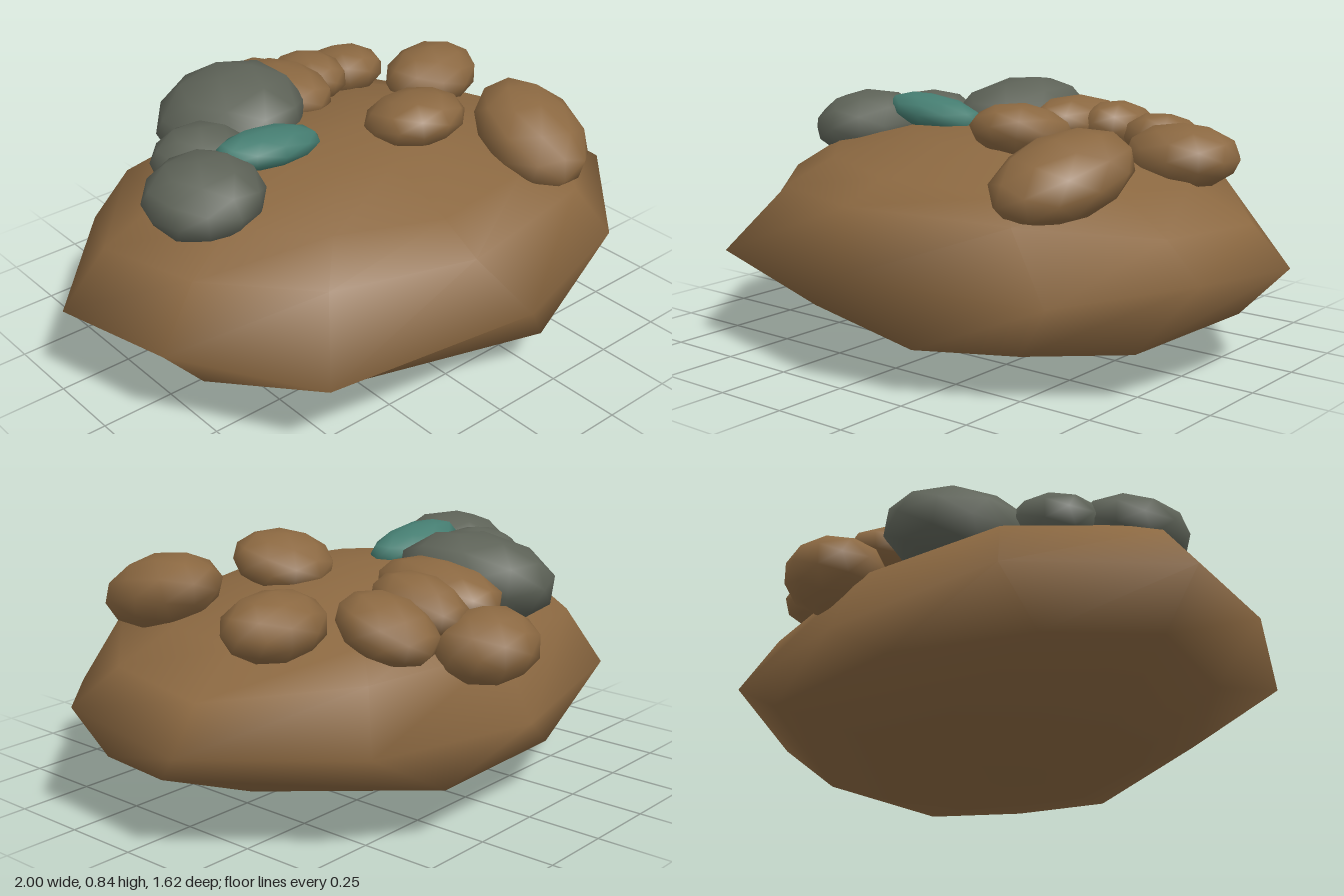
import * as THREE from 'three';
import { mergeVertices } from 'three/addons/utils/BufferGeometryUtils.js';

const flat = (name, color) => Object.assign(new THREE.MeshStandardMaterial({ color }), { name });

// boulder outlines as x, y, z corners: below, at and above its widest level
const BELLY = [
  [0.91, 0.218, -0.06], [0.79, 0.16, 0.33], [0.53, 0.155, 0.54], [0.24, 0.155, 0.69], [-0.42, 0.12, 0.44],
  [-0.74, 0.15, 0.18], [-0.81, 0.2, -0.13], [-0.62, 0.17, -0.45], [-0.2, 0.18, -0.67], [0.36, 0.185, -0.69],
];
const RIM = [
  [1, 0.345, -0.21], [0.97, 0.385, 0.27], [0.66, 0.33, 0.6], [0.06, 0.37, 0.805], [-0.62, 0.32, 0.65],
  [-0.9, 0.335, 0.21], [-1, 0.335, -0.19], [-0.62, 0.34, -0.61], [0, 0.31, -0.745], [0.65, 0.35, -0.65],
];
const SHOULDER = [
  [0.88, 0.475, -0.18], [0.82, 0.49, 0.22], [0.51, 0.54, 0.56], [-0.05, 0.545, 0.66], [-0.49, 0.53, 0.49],
  [-0.76, 0.525, 0.18], [-0.85, 0.52, -0.16], [-0.53, 0.53, -0.52], [0, 0.53, -0.64], [0.56, 0.53, -0.56],
];

// lofts a closed smooth shell from rings listed bottom to top
function loft(rings) {
  const n = RIM.length, index = [];
  for (let r = 0; r < rings.length - 1; r++) {
    for (let i = 0; i < n; i++) {
      const a = r * n + i, b = r * n + (i + 1) % n;
      index.push(b, a, a + n, b, a + n, b + n);
    }
  }
  let geo = new THREE.BufferGeometry();
  geo.setAttribute('position', new THREE.Float32BufferAttribute(rings.flat(2), 3));
  geo.setIndex(index);
  geo = mergeVertices(geo, 1e-4);
  geo.computeVertexNormals();
  return geo;
}

// shrinks an outline and gives each corner a new height
const ring = (outline, scale, height, shift = 0) => outline.map(([x, , z]) => {
  const px = x * scale + shift, pz = z * scale;
  return [px, height(px, pz), pz];
});

export function createModel() {
  const group = new THREE.Group();
  const brown = flat('brown stone', 0x8b6841);
  const grey = flat('grey stone', 0x5e6358);
  const teal = flat('teal stone', 0x457d71);

  const add = (name, geo, mat) => {
    const mesh = new THREE.Mesh(geo, mat);
    mesh.name = name;
    group.add(mesh);
    return mesh;
  };

  // large base boulder: domed top and tilted underside
  add('boulder', loft([
    ring(BELLY, 0, () => 0.01, -0.05),
    ring(BELLY, 0.62, (x, z) => Math.max(0, 0.015 + 0.065 * x + 0.14 * Math.abs(z)), -0.05),
    BELLY,
    RIM,
    SHOULDER,
    ring(SHOULDER, 0.77, (x) => 0.61 - 0.04 * x),
    ring(SHOULDER, 0.38, (x) => 0.69 - 0.02 * x),
    ring(SHOULDER, 0, () => 0.712),
  ]), brown);

  // small rounded stones: name, material, centre, half sizes, rotation
  const pebble = new THREE.IcosahedronGeometry(1.02, 1);
  const stones = [
    ['largeGreyStone', grey, [-0.195, 0.68, -0.38], [0.25, 0.148, 0.262], [0, 0, 0.25]],
    ['leftGreyStone', grey, [-0.575, 0.672, -0.005], [0.19, 0.12, 0.195], [0, 0, 0.1]],
    ['middleGreyStone', grey, [-0.44, 0.672, -0.2], [0.168, 0.11, 0.16], [0, 0, 0]],
    ['tealStone', teal, [-0.295, 0.732, -0.04], [0.2, 0.06, 0.095], [0, 0, -0.12]],
    ['frontLongStone', brown, [0.525, 0.655, 0.335], [0.178, 0.12, 0.243], [0.3, -0.3, 0]],
    ['frontRoundStone', brown, [0.2, 0.732, 0.11], [0.168, 0.09, 0.165], [-0.2, 0, 0]],
    ['sideStone', brown, [0.595, 0.652, -0.225], [0.19, 0.104, 0.15], [0, 0.2, 0]],
    ['rearOuterStone', brown, [0.375, 0.645, -0.475], [0.142, 0.092, 0.17], [-0.3, 0, 0]],
    ['rearMiddleStone', brown, [0.2, 0.678, -0.455], [0.122, 0.092, 0.168], [-0.2, 0, 0]],
    ['rearInnerStone', brown, [0.05, 0.688, -0.415], [0.145, 0.094, 0.225], [-0.1, 0, 0]],
    ['rearLowStone', brown, [0.115, 0.57, -0.65], [0.175, 0.118, 0.16], [0, 0, 0]],
  ];
  for (const [name, mat, pos, size, rot] of stones) {
    const mesh = add(name, pebble, mat);
    mesh.position.set(...pos);
    mesh.scale.set(...size);
    mesh.rotation.set(...rot);
  }
  return group;
}
